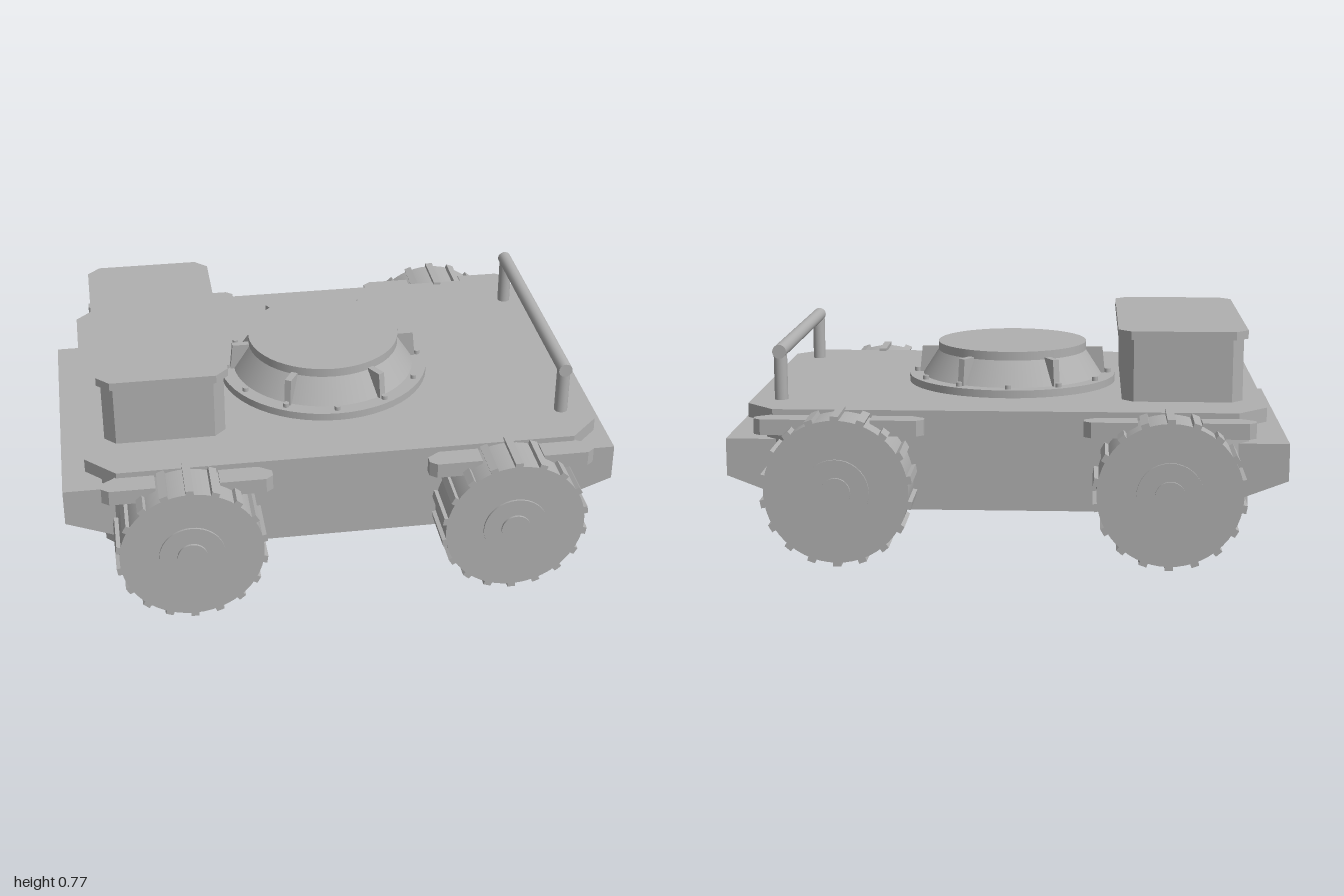
import * as THREE from 'three';

export function createModel() {
  const model = new THREE.Group();
  model.name = 'rover';
  const grey = new THREE.MeshStandardMaterial({ color: 0xb0b0b0 });
  grey.name = 'plain grey';

  const add = (name, geometry, x = 0, y = 0, z = 0, parent = model) => {
    const mesh = new THREE.Mesh(geometry, grey);
    mesh.name = name;
    mesh.position.set(x, y, z);
    parent.add(mesh);
    return mesh;
  };
  const extrude = (points, depth) => new THREE.ExtrudeGeometry(
    new THREE.Shape(points.map(([x, y]) => new THREE.Vector2(x, y))),
    { depth, bevelEnabled: false });
  // Horizontal plate with cut corners, its underside at y = 0
  const plate = (hx, hz, cx, cz, height) => extrude([
    [-hx, -hz + cz], [-hx + cx, -hz], [hx - cx, -hz], [hx, -hz + cz],
    [hx, hz - cz], [hx - cx, hz], [-hx + cx, hz], [-hx, hz - cz]], height).rotateX(-Math.PI / 2);
  const cylinderZ = (r, length, segments = 36) =>
    new THREE.CylinderGeometry(r, r, length, segments).rotateX(Math.PI / 2);

  // Body and deck
  add('hull', plate(0.86, 0.565, 0.09, 0.09, 0.33), 0, 0.15, 0);
  add('deck', plate(0.915, 0.62, 0.105, 0.105, 0.05), 0, 0.47, 0);

  // Bumpers at both ends
  for (const side of [1, -1]) {
    const bumper = add('bumper', extrude(
      [[0.78, 0.19], [0.83, 0.19], [1, 0.255], [1, 0.39], [0.78, 0.39]], 1.03).translate(0, 0, -0.515));
    if (side < 0) bumper.rotation.y = Math.PI;
  }

  // Storage box with overhanging lid
  add('storageBox', plate(0.215, 0.43, 0.04, 0.04, 0.225), -0.625, 0.52, 0);
  add('storageBoxLid', plate(0.23, 0.445, 0.045, 0.045, 0.03), -0.625, 0.745, 0);

  // Round turret base: flange, sloping ring and cap
  const profile = [[0, 0.52], [0.39, 0.52], [0.39, 0.548], [0.338, 0.548], [0.28, 0.638], [0.28, 0.67], [0, 0.67]];
  const turret = new THREE.Group();
  turret.name = 'turretBase';
  model.add(turret);
  for (let i = 0; i < profile.length - 1; i++) {
    const pair = [profile[i], profile[i + 1]].map(([r, y]) => new THREE.Vector2(r, y));
    add('turretRing', new THREE.LatheGeometry(pair, 56), 0, 0, 0, turret);
  }
  const fin = extrude([[0.26, 0.545], [0.352, 0.545], [0.342, 0.645], [0.26, 0.645]], 0.024).translate(0, 0, -0.012);
  for (let i = 0; i < 6; i++) {
    add('turretFin', fin, 0, 0, 0, turret).rotation.y = i * Math.PI / 3;
  }
  const bolt = new THREE.CylinderGeometry(0.011, 0.011, 0.02, 12);
  for (let i = 0; i < 12; i++) {
    const a = i * Math.PI / 6;
    add('turretBolt', bolt, 0.362 * Math.cos(a), 0.553, 0.362 * Math.sin(a), turret);
  }

  // Grab rail
  add('railBar', cylinderZ(0.025, 0.92, 20), 0.81, 0.695, 0);
  for (const side of [1, -1]) {
    add('railPost', new THREE.CylinderGeometry(0.024, 0.024, 0.18, 20), 0.81, 0.605, side * 0.435);
  }

  // Wheels with treads, hubs and fenders
  const tyre = cylinderZ(0.25, 0.18, 54);
  const tread = new THREE.BoxGeometry(0.028, 0.025, 0.18);
  const hub = cylinderZ(0.115, 0.206);
  const cap = cylinderZ(0.052, 0.07);
  const axle = cylinderZ(0.05, 0.14, 24);
  const fenderTab = extrude([[0.11, 0.56], [0.21, 0.56], [0.25, 0.62], [0.295, 0.65],
    [0.295, 0.68], [0.27, 0.7], [0.11, 0.7]], 0.055).rotateX(Math.PI / 2).translate(0, 0.5, 0);
  for (const x of [0.57, -0.57]) for (const side of [1, -1]) {
    const corner = new THREE.Group();
    corner.name = 'wheelAssembly';
    corner.position.x = x;
    if (side < 0) corner.rotation.y = Math.PI;
    model.add(corner);
    const wheel = new THREE.Group();
    wheel.name = 'wheel';
    wheel.position.set(0, 0.265, 0.69);
    corner.add(wheel);
    add('tyre', tyre, 0, 0, 0, wheel);
    add('hub', hub, 0, 0, -0.006, wheel);
    add('hubCap', cap, 0, 0, 0.07, wheel);
    add('axle', axle, 0, 0, -0.15, wheel);
    for (let i = 0; i < 18; i++) {
      const a = i * Math.PI / 9;
      add('tread', tread, -0.2515 * Math.sin(a), 0.2515 * Math.cos(a), 0, wheel).rotation.z = a;
    }
    add('fenderTab', fenderTab, 0, 0, 0, corner);
    // Mirrored tab on the other side of the wheel
    add('fenderTab', fenderTab, 0, 0, 0, corner).scale.x = -1;
  }
  return model;
}
